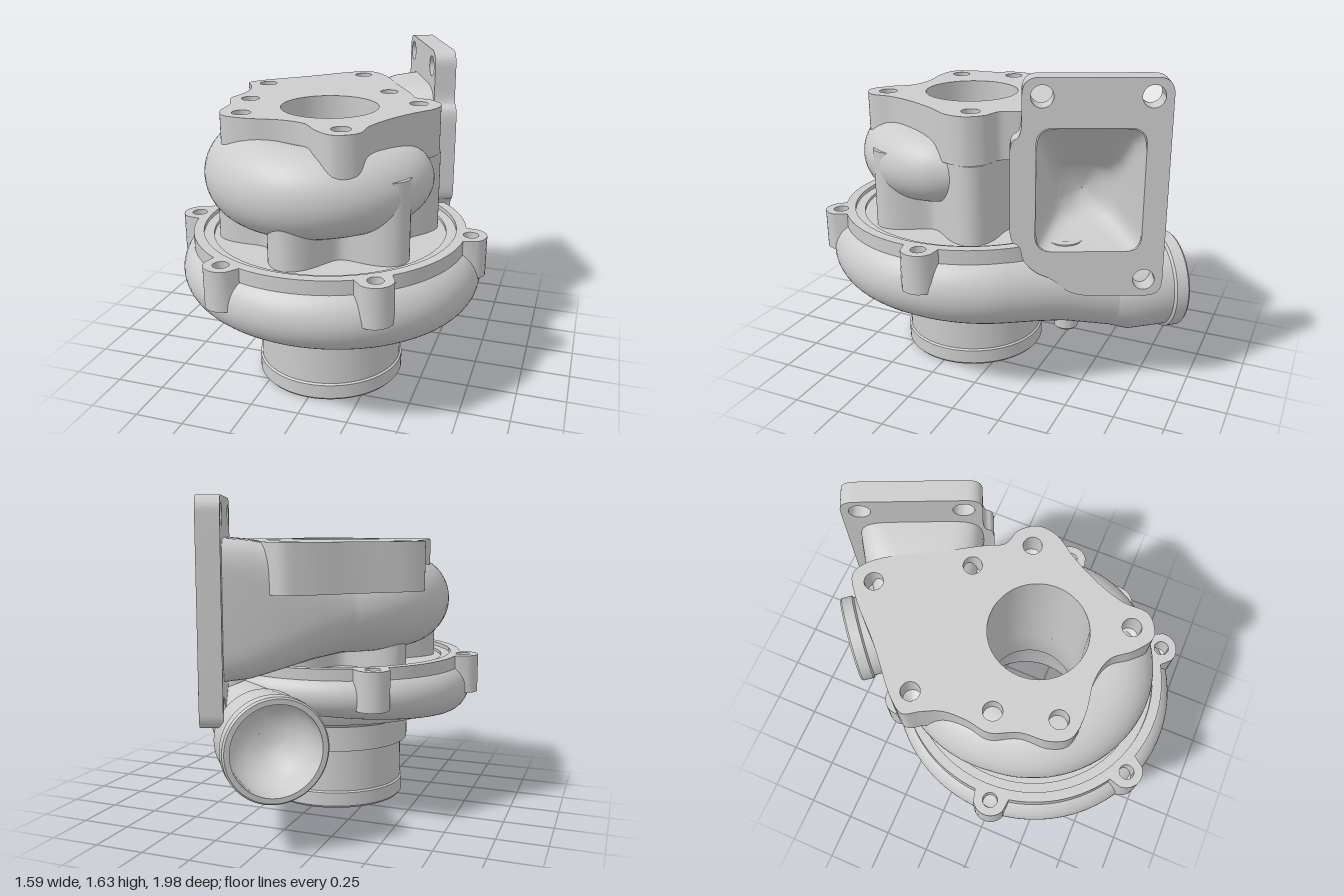
import * as THREE from 'three';
import { toCreasedNormals } from 'three/addons/utils/BufferGeometryUtils.js';

const AXIS_Z = 0.235; // the shaft runs vertically through (0, AXIS_Z)
const UP = new THREE.Vector3(0, 1, 0);
const rad = THREE.MathUtils.degToRad;

// Piecewise linear lookup in rows [key, a, b], keys descending
function lookup(rows, key) {
  let i = 0;
  while (i < rows.length - 2 && key < rows[i + 1][0]) i++;
  const [p, q] = [rows[i], rows[i + 1]];
  const t = (p[0] - key) / (p[0] - q[0]);
  return p.map((v, k) => v + (q[k] - v) * t);
}

// Skin over sections { x, y, z, w, h, e }; e below 1 makes the section boxy
function sweep(sections, minRadius = 0, n = 48) {
  const pos = [], index = [];
  const pw = (v, e) => Math.sign(v) * Math.pow(Math.abs(v), e);
  sections.forEach((s, i) => {
    const a = sections[Math.max(i - 1, 0)], b = sections[Math.min(i + 1, sections.length - 1)];
    const side = new THREE.Vector3(b.x - a.x, 0, b.z - a.z).normalize();
    side.crossVectors(UP, side);
    for (let j = 0; j < n; j++) {
      const f = j / n * Math.PI * 2, u = pw(Math.cos(f), s.e ?? 1) * s.w;
      const x = s.x + side.x * u, z = s.z + side.z * u - AXIS_Z;
      const r = Math.hypot(x, z), k = r < minRadius ? minRadius / r : 1;
      pos.push(x * k, s.y + pw(Math.sin(f), s.e ?? 1) * s.h, z * k + AXIS_Z);
      if (i < sections.length - 1) {
        const p = i * n + j, q = i * n + (j + 1) % n;
        index.push(p, q, p + n, q, q + n, p + n);
      }
    }
  });
  const g = new THREE.BufferGeometry();
  g.setAttribute('position', new THREE.Float32BufferAttribute(pos, 3));
  g.setIndex(index);
  g.computeVertexNormals();
  return g;
}

const lathe = (pts) => toCreasedNormals(
  new THREE.LatheGeometry(pts.map(p => new THREE.Vector2(...p)), 72), 0.5);

function extrude(shape, depth) {
  return toCreasedNormals(new THREE.ExtrudeGeometry(shape, { depth, bevelEnabled: false, curveSegments: 32 }), 0.5);
}

function hole(x, y, r) {
  const p = new THREE.Path();
  p.absarc(x, y, r, 0, Math.PI * 2, true);
  return p;
}

// Polygon with rounded corners
function rounded(path, pts, r) {
  pts.forEach((p, i) => {
    const v = new THREE.Vector2(...p);
    const a = new THREE.Vector2(...pts[(i + pts.length - 1) % pts.length]).sub(v);
    const b = new THREE.Vector2(...pts[(i + 1) % pts.length]).sub(v);
    a.setLength(Math.min(r, a.length() * 0.48)).add(v);
    b.setLength(Math.min(r, b.length() * 0.48)).add(v);
    i ? path.lineTo(a.x, a.y) : path.moveTo(a.x, a.y);
    path.quadraticCurveTo(v.x, v.y, b.x, b.y);
  });
  path.closePath();
  return path;
}

// Outline given as a radius for each angle
function polarShape(radius) {
  const pts = [];
  for (let i = 0; i < 240; i++) {
    const a = i / 240 * Math.PI * 2, r = radius(a);
    pts.push(new THREE.Vector2(r * Math.cos(a), r * Math.sin(a)));
  }
  return new THREE.Shape(pts);
}

export function createModel() {
  const group = new THREE.Group();
  const metal = new THREE.MeshStandardMaterial({ color: 0xcccccc, side: THREE.DoubleSide });
  metal.name = 'cast metal grey';
  const add = (name, geo, x = 0, y = 0, z = 0) => {
    const m = new THREE.Mesh(geo, metal);
    m.name = name;
    m.position.set(x, y, z);
    group.add(m);
    return m;
  };
  const addFlat = (name, shape, top, depth, z = 0) => {
    add(name, extrude(shape, depth), 0, top, z).rotation.x = Math.PI / 2;
  };
  // Threaded hole cut in a flat part, closed by a conical drill bottom
  const drill = (shape, x, z, r, y, offsetZ = 0) => {
    shape.holes.push(hole(x, z, r));
    add('boltHoleBottom', lathe([[0.001, -0.025], [r, 0]]), x, y, z + offsetZ);
  };

  // Inlet pipe, collar and back plate of the compressor
  add('compressorInlet', lathe([
    [0.24, 0.775], [0.24, 0.52], [0.33, 0.3], [0.35, 0.02], [0.355, 0], [0.37, 0], [0.38, 0.012],
    [0.38, 0.085], [0.37, 0.092], [0.37, 0.32], [0.405, 0.32], [0.405, 0.45], [0.43, 0.475], [0.6, 0.51],
    [0.645, 0.6], [0.645, 0.79], [0.59, 0.79], [0.59, 0.775], [0.24, 0.775]]), 0, 0, AXIS_Z);

  // Compressor scroll, growing round the axis and leaving in a straight line
  const compressor = [[300, 0.73, 0.08], [180, 0.745, 0.14], [90, 0.757, 0.16], [0, 0.768, 0.18], [-38.5, 0.776, 0.195]];
  const rings = [];
  for (let i = 0; i <= 72; i++) {
    const deg = 300 - i / 72 * 338.5, a = rad(deg);
    const [, outer, r] = lookup(compressor, deg);
    const w = i ? r : 0.005;
    rings.push({ x: (outer - r) * Math.cos(a), y: 0.77 - r, z: AXIS_Z + (outer - r) * Math.sin(a), w, h: w });
  }
  const out = new THREE.Vector3(-0.625, 0, -0.78).normalize();
  const last = rings[72];
  for (const [t, y, r] of [[0.15, 0.565, 0.195], [0.3, 0.55, 0.195], [0.45, 0.52, 0.2], [0.56, 0.5, 0.206]]) {
    rings.push({ x: last.x + out.x * t, y, z: last.z + out.z * t, w: r, h: r });
  }
  add('compressorScroll', sweep(rings));

  // Compressor outlet with a lip at its mouth
  add('compressorOutlet', lathe([
    [0.205, 0], [0.235, 0.09], [0.235, 0.28], [0.248, 0.29], [0.248, 0.35], [0.24, 0.36], [0.215, 0.36],
    [0.212, 0.2], [0.19, 0.12], [0.13, 0.05], [0.07, 0.025], [0.001, 0.02]]),
  last.x + out.x * 0.555, 0.5, last.z + out.z * 0.555).quaternion.setFromUnitVectors(UP, out);
  add('pressurePort', lathe([
    [0.001, 0.36], [0.03, 0.36], [0.03, 0.295], [0.05, 0.295], [0.06, 0.305], [0.06, 0.44]]), 0.235, 0, -0.4);

  // Bolt ring of the compressor, with six bosses
  const bosses = [0, 1, 2, 3, 4, 5].map(i => rad(-4.5 + i * 60));
  const ring = polarShape(a => Math.max(0.69, ...bosses.map(b => {
    const s = 0.705 * Math.sin(a - b), c = Math.cos(a - b);
    return c > 0 && Math.abs(s) < 0.09 ? 0.705 * c + Math.sqrt(0.0081 - s * s) : 0;
  })));
  ring.holes.push(hole(0, 0, 0.64));
  bosses.forEach(b => drill(ring, 0.715 * Math.cos(b), 0.715 * Math.sin(b), 0.038, 0.7, AXIS_Z));
  addFlat('compressorBoltRing', ring, 0.81, 0.2, AXIS_Z);

  // Lobed base under the turbine scroll
  const base = polarShape(a => 0.475 + 0.085 * Math.cos(6 * (a - rad(95))));
  base.holes.push(hole(0, 0, 0.24));
  addFlat('turbineBase', base, 1.18, 0.405, AXIS_Z);

  // Turbine inlet duct running into the shrinking turbine scroll
  const duct = [
    { x: 0.307, y: 1.1, z: -0.507, w: 0.31, h: 0.34, e: 0.35 },
    { x: 0.2, y: 1.1, z: -0.455, w: 0.295, h: 0.33, e: 0.4 },
    { x: 0.07, y: 1.1, z: -0.385, w: 0.27, h: 0.295, e: 0.55 },
    { x: -0.06, y: 1.1, z: -0.295, w: 0.25, h: 0.26, e: 0.8 }];
  const turbine = [[248, 0.71, 0.24], [180, 0.63, 0.235], [90, 0.6, 0.215], [0, 0.53, 0.17], [-25, 0.48, 0.12], [-40, 0.4, 0.01]];
  for (let i = 0; i <= 60; i++) {
    const deg = 248 - i / 60 * 288, a = rad(deg);
    const [, outer, r] = lookup(turbine, deg);
    duct.push({ x: (outer - r) * Math.cos(a), y: 1.1, z: AXIS_Z + (outer - r) * Math.sin(a), w: r, h: r });
  }
  add('turbineScroll', sweep(duct, 0.26));

  // Lobed outlet flange on top
  const outline = [
    [-0.07, -0.69], [-0.17, -0.63], [-0.36, -0.44], [-0.57, -0.25], [-0.61, -0.18], [-0.57, -0.11], [-0.53, -0.02],
    [-0.525, 0.1], [-0.54, 0.21], [-0.485, 0.34], [-0.47, 0.48], [-0.42, 0.56], [-0.3, 0.58], [-0.12, 0.56],
    [0, 0.59], [0.08, 0.68], [0.18, 0.74], [0.28, 0.68], [0.29, 0.55], [0.34, 0.4], [0.42, 0.25], [0.5, 0.13],
    [0.51, 0.03], [0.45, -0.05], [0.36, -0.08], [0.31, -0.17], [0.2, -0.35], [0.03, -0.63]];
  const curve = new THREE.CatmullRomCurve3(outline.map(p => new THREE.Vector3(p[0], p[1], 0)), true);
  const top = new THREE.Shape(curve.getPoints(168).slice(0, -1).map(p => new THREE.Vector2(p.x, p.y)));
  top.holes.push(hole(0, AXIS_Z, 0.24));
  for (const [x, z] of [[-0.07, -0.58], [-0.5, -0.19], [0.19, -0.18], [0.4, 0.045], [-0.44, 0.19], [-0.36, 0.48], [0.185, 0.63]]) {
    drill(top, x, z, 0.046, 1.3);
  }
  addFlat('turbineOutletFlange', top, 1.42, 0.24);

  // Upright inlet flange with a rounded rectangular opening
  const plate = rounded(new THREE.Shape(), [
    [0, 0.57], [0.43, 0.57], [0.53, 0.66], [0.6, 0.685], [0.67, 0.75], [0.68, 0.83], [0.73, 0.85],
    [0.73, 1.34], [0.675, 1.36], [0.675, 1.63], [0, 1.63]], 0.08);
  plate.holes.push(rounded(new THREE.Path(), [[0.11, 0.8], [0.11, 1.4], [0.61, 1.4], [0.61, 0.8]], 0.08));
  for (const [s, y] of [[0.09, 1.545], [0.585, 1.545], [0.09, 0.655]]) plate.holes.push(hole(s, y, 0.052));
  add('turbineInletFlange', extrude(plate, 0.11), 0.248, 0, -0.886).rotation.y = -1.153;

  // Tapered passage behind the opening
  const passage = [[0, 1.1, 0.25, 0.3, 0.25], [0.1, 1.07, 0.225, 0.265, 0.28], [0.22, 1.01, 0.185, 0.185, 0.4],
    [0.32, 0.985, 0.15, 0.15, 0.6], [0.38, 0.98, 0.11, 0.12, 0.8], [0.4, 0.98, 0.002, 0.002, 1]];
  add('turbineInletPassage', sweep(passage.map(([t, y, w, h, e]) =>
    ({ x: 0.394 - 0.914 * t, y, z: -0.557 + 0.406 * t, w, h, e }))));

  return group;
}
